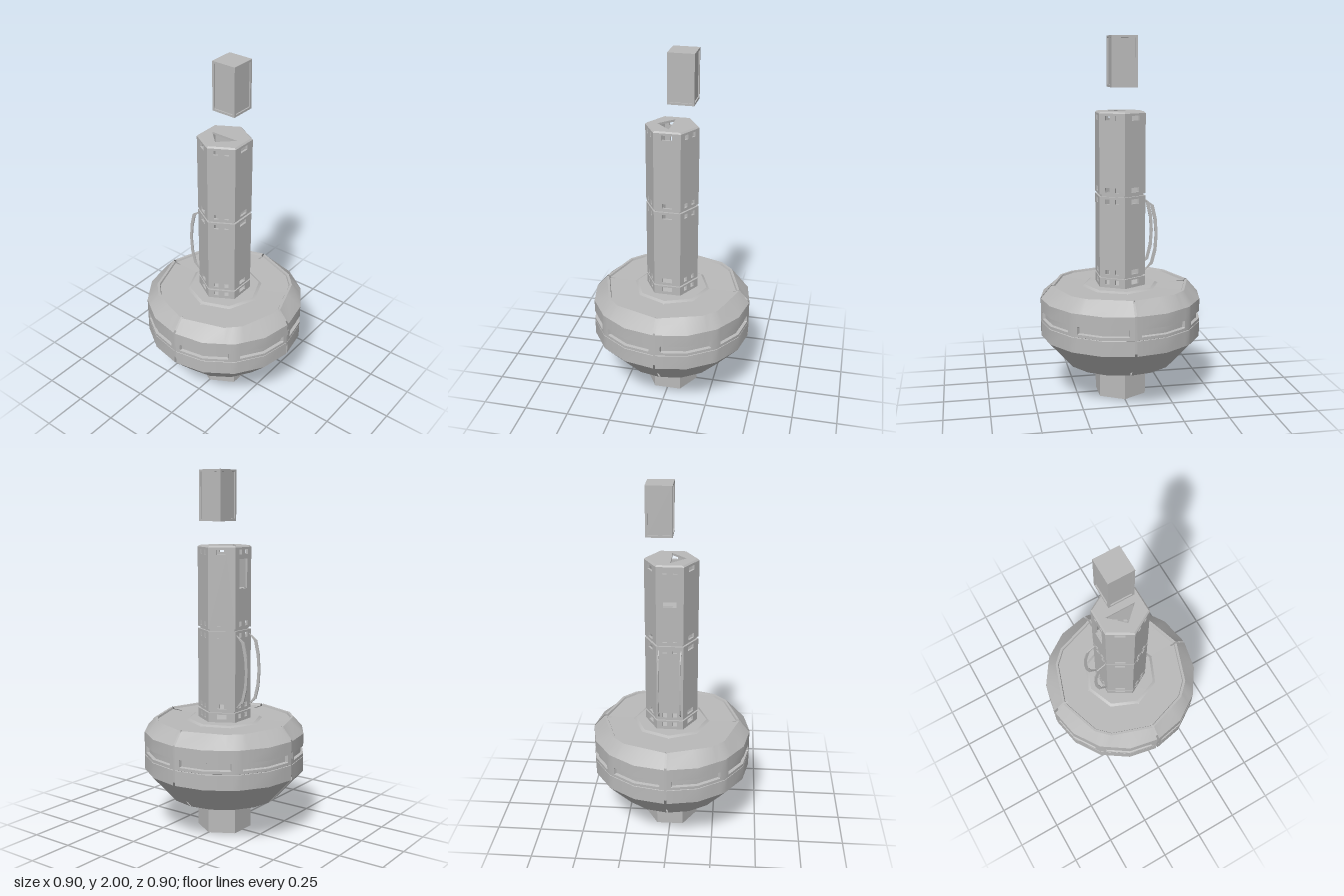
import * as THREE from 'three';
import { toCreasedNormals } from 'three/addons/utils/BufferGeometryUtils.js';

const grey = new THREE.MeshStandardMaterial({ color: 0xb9b9b9, side: THREE.DoubleSide });
grey.name = 'grey';
const RAD = Math.PI / 180;

function add(parent, name, geometry, x = 0, y = 0, z = 0) {
  const mesh = new THREE.Mesh(geometry, grey);
  mesh.name = name;
  mesh.position.set(x, y, z);
  parent.add(mesh);
  return mesh;
}
const box = (w, h, d) => new THREE.BoxGeometry(w, h, d);
const points = (list) => list.map(([a, b]) => new THREE.Vector2(a, b));
const lathe = (profile, sides, crease) =>
  toCreasedNormals(new THREE.LatheGeometry(points(profile), sides), crease);
const rectPath = (x0, y0, x1, y1) => new THREE.Path(points([[x0, y0], [x0, y1], [x1, y1], [x1, y0]]));

// Radius factor of a polygon whose corners sit at the given angles
function polygonFactor(a, corners) {
  for (let i = 0; i < corners.length - 1; i++) {
    if (a <= corners[i + 1]) {
      const half = (corners[i + 1] - corners[i]) / 2;
      return Math.cos(half * RAD) / Math.cos((a - corners[i] - half) * RAD);
    }
  }
  return 1;
}

// One quarter of the bowl shell, with two recessed bands
function bowlQuarter() {
  const side = [0, 22.5, 45, 67.5, 90], rim = [0, 37.5, 52.5, 90];
  const columns = [0.8, 4, 4.5, 22.5, 37.5, 40.5, 41, 45, 49, 49.5, 52.5, 67.5, 85.5, 86, 89.2];
  // radius, height, rim outline, band recess
  const rows = [
    [0.22, 0.2], [0.31, 0.2], [0.45, 0.355], [0.45, 0.438], [0.446, 0.44], [0.45, 0.442],
    [0.45, 0.458], [0.45, 0.462, 0, 0.016], [0.45, 0.495, 0, 0.016], [0.45, 0.5], [0.45, 0.57],
    [0.39, 0.64, 1], [0.376, 0.64, 1], [0.372, 0.63, 1], [0.2, 0.628, 1],
  ];
  const inBand = (a) => (a >= 4.5 && a <= 40.5) || (a >= 49.5 && a <= 85.5);
  const pos = [], index = [], n = rows.length;
  columns.forEach((a, i) => {
    rows.forEach(([r, y, onRim, dip], j) => {
      const q = (r - (dip && inBand(a) ? dip : 0)) * polygonFactor(a, onRim ? rim : side);
      pos.push(q * Math.cos(a * RAD), y, q * Math.sin(a * RAD));
      if (i && j) {
        const A = (i - 1) * n + j - 1, B = i * n + j - 1;
        index.push(B, A, A + 1, B, A + 1, B + 1);
      }
    });
  });
  const g = new THREE.BufferGeometry();
  g.setAttribute('position', new THREE.Float32BufferAttribute(pos, 3));
  g.setIndex(index);
  return toCreasedNormals(g, 0.55);
}

// Hollow six-sided tower section with slots in alternating patterns
function towerSection(name, y0, y1, slotRows, windowFace = false) {
  const section = new THREE.Group();
  section.name = name;
  for (let k = 0; k < 6; k++) {
    const s = new THREE.Shape(points([[-0.0735, y0], [0.0735, y0], [0.0735, y1], [-0.0735, y1]]));
    const slots = k % 2 ? [[-0.027, 0.027]] : [[-0.04, -0.016], [0.016, 0.04]];
    for (const y of slotRows)
      for (const [a, b] of slots) s.holes.push(rectPath(a, y - 0.013, b, y + 0.013));
    if (windowFace && k === 4) s.holes.push(rectPath(-0.036, 1.37, 0.036, 1.53));
    const g = new THREE.ExtrudeGeometry(s, { depth: 0.012, bevelEnabled: false });
    g.translate(0, 0, 0.1153);
    add(section, 'wall', g).rotation.y = (30 + 60 * k) * RAD;
  }
  return section;
}

export function createModel() {
  const model = new THREE.Group();

  // Six-sided foot with a recessed underside
  add(model, 'foot', lathe([[0, 0.008], [0.138, 0.008], [0.138, 0], [0.15, 0], [0.15, 0.22]], 6, 0.3));

  // Bowl: inner core plus four shell quarters with narrow seams
  add(model, 'bowlCore', lathe([[0, 0.212], [0.3, 0.212], [0.425, 0.36], [0.425, 0.565],
    [0.355, 0.615], [0, 0.615]], 16, 0.5));
  const quarter = bowlQuarter();
  for (let i = 0; i < 4; i++) add(model, 'bowlShell', quarter).rotation.y = i * Math.PI / 2;
  add(model, 'deckPlate', lathe([[0.22, 0.626], [0.2, 0.637], [0, 0.64]], 8, 0.5));

  // Tower: collar and two sections joined by narrow necks
  model.add(towerSection('collar', 0.638, 0.69, [0.668]));
  model.add(towerSection('lowerTower', 0.7, 1.143, [0.725, 1.117]));
  model.add(towerSection('upperTower', 1.155, 1.592, [1.18, 1.567], true));
  for (const y of [0.695, 1.149]) {
    const neck = new THREE.CylinderGeometry(0.134, 0.134, 0.02, 6, 1, true);
    add(model, 'neck', toCreasedNormals(neck, 0.3), 0, y, 0);
  }

  // Roof with chamfered rim and triangular opening
  const hex = [];
  for (let k = 0; k < 6; k++) hex.push([0.138 * Math.sin(k * 60 * RAD), 0.138 * Math.cos(k * 60 * RAD)]);
  const roof = new THREE.Shape(points(hex));
  roof.holes.push(new THREE.Path(points([[-0.083, 0], [0.083, 0], [0, -0.08]])));
  const roofGeometry = new THREE.ExtrudeGeometry(roof, { depth: 0.012, bevelEnabled: false });
  roofGeometry.rotateX(-Math.PI / 2);
  add(model, 'roof', roofGeometry, 0, 1.588, 0);
  add(model, 'roofChamfer', lathe([[0.147, 1.592], [0.138, 1.6]], 6, 0.3));

  // Shelf behind the window
  add(model, 'windowShelf', box(0.06, 0.012, 0.09), -0.088, 1.366, 0);

  // Pair of thin curved grips on the right side
  const grip = new THREE.Shape(points([[-0.12, 0.71], [-0.175, 0.755], [-0.195, 0.83], [-0.201, 0.92],
    [-0.195, 1.01], [-0.178, 1.085], [-0.12, 1.125], [-0.16, 1.08], [-0.178, 1.0], [-0.184, 0.92],
    [-0.178, 0.84], [-0.16, 0.765]]));
  for (const z of [-0.06, 0.06])
    add(model, 'grip', new THREE.ExtrudeGeometry(grip, { depth: 0.006, bevelEnabled: false }), 0, 0, z - 0.003);

  // Floating block: recessed panels inside a frame
  const block = new THREE.Group();
  block.name = 'floatingBlock';
  block.position.set(0, 1.865, -0.06);
  add(block, 'panels', box(0.128, 0.262, 0.128));
  for (const s of [-1, 1]) {
    for (const t of [-1, 1]) {
      add(block, 'post', box(0.012, 0.254, 0.012), s * 0.065, 0, t * 0.065);
    }
    add(block, 'endPlate', box(0.142, 0.012, 0.142), 0, s * 0.129, 0);
  }
  model.add(block);

  return model;
}
